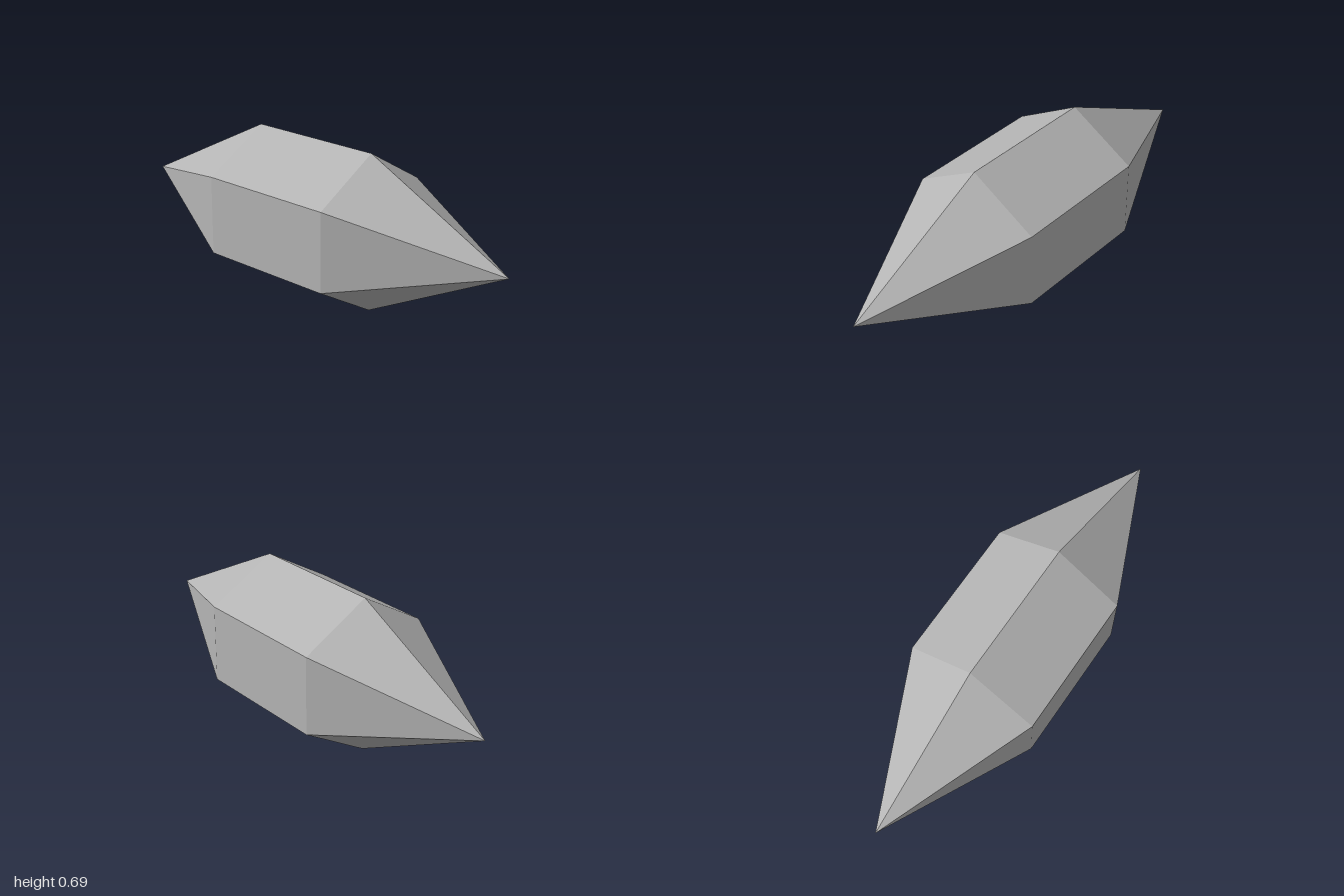
import * as THREE from 'three';

const SIDES = 6;
const RADIUS = 0.344;
const HALF_BODY = 0.315; // half length of the straight middle
const HALF_LENGTH = 1;

export function createModel() {
  const model = new THREE.Group();
  model.name = 'crystal';

  const stone = new THREE.MeshStandardMaterial({ color: 0xb4b4b4, flatShading: true });
  stone.name = 'grey stone';

  // Six-sided prism, lying along z with one edge on the ground
  const body = new THREE.CylinderGeometry(RADIUS, RADIUS, HALF_BODY * 2, SIDES, 1, true);
  body.rotateX(Math.PI / 2);
  const prism = new THREE.Mesh(body, stone);
  prism.name = 'prismBody';
  model.add(prism);

  // Pointed end on the front and on the back
  const tipLength = HALF_LENGTH - HALF_BODY;
  for (const [name, dir] of [['frontPoint', 1], ['backPoint', -1]]) {
    const tip = new THREE.ConeGeometry(RADIUS, tipLength, SIDES, 1, true);
    tip.translate(0, HALF_BODY + tipLength / 2, 0);
    tip.rotateX((dir * Math.PI) / 2);
    const point = new THREE.Mesh(tip, stone);
    point.name = name;
    model.add(point);
  }

  model.position.y = RADIUS;
  return model;
}
